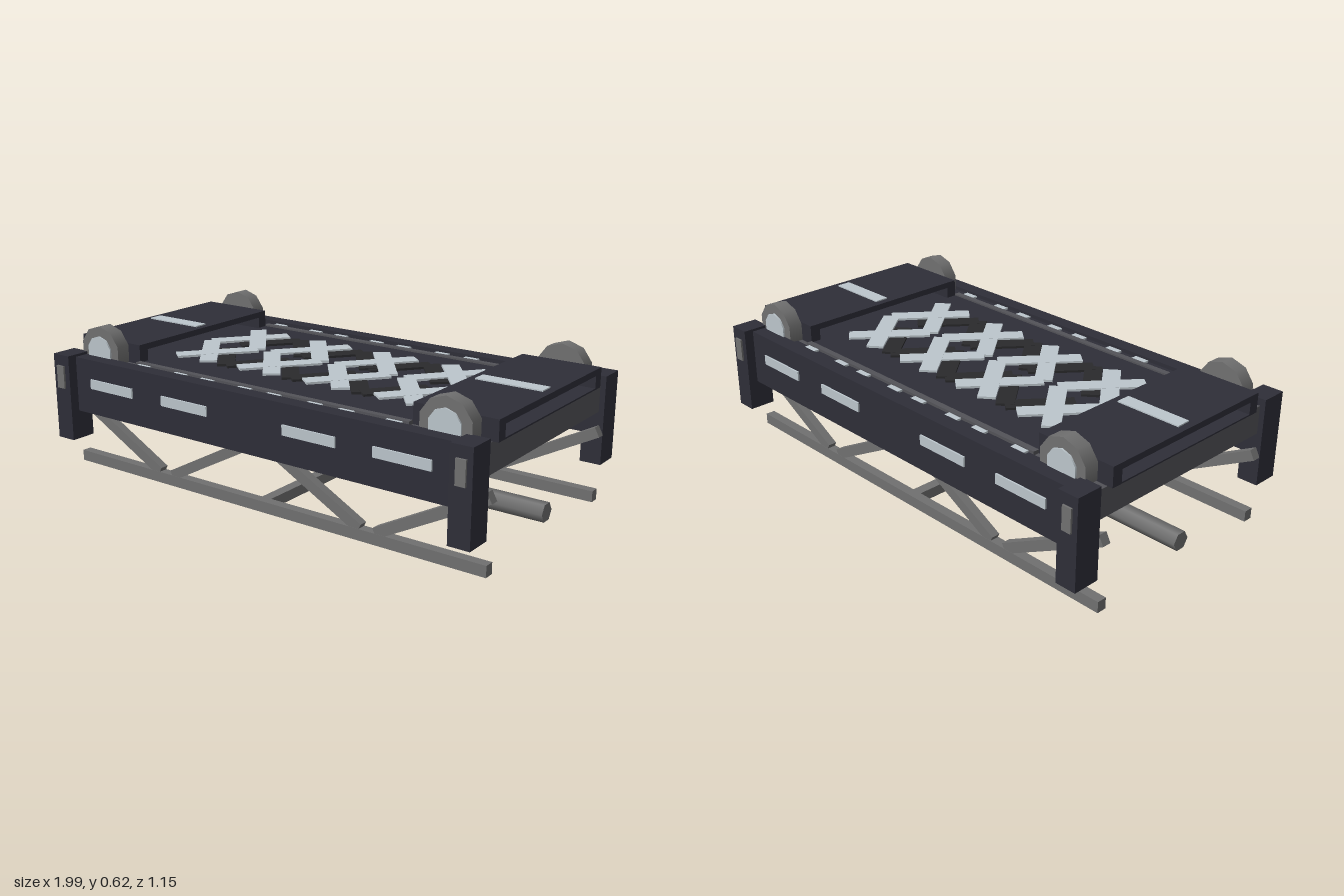
import * as THREE from 'three';

export function createModel() {
  const root = new THREE.Group();
  const mat = (name, color) => {
    const m = new THREE.MeshStandardMaterial({ color });
    m.name = name;
    return m;
  };
  const hull = mat('dark hull', 0x2e2e38);
  const lattice = mat('dark lattice', 0x2a2a2c);
  const deckGrey = mat('deck grey', 0x535358);
  const steel = mat('steel grey', 0x707070);
  const light = mat('pale light', 0xbcc6cc);

  const add = (name, geo, material, x = 0, y = 0, z = 0) => {
    const m = new THREE.Mesh(geo, material);
    m.name = name;
    m.position.set(x, y, z);
    root.add(m);
    return m;
  };
  // box given by its min and max on each axis
  const box = (name, material, [x0, x1], [y0, y1], [z0, z1]) =>
    add(name, new THREE.BoxGeometry(x1 - x0, y1 - y0, z1 - z0), material,
      (x0 + x1) / 2, (y0 + y1) / 2, (z0 + z1) / 2);
  const side = (s, a, b) => (s > 0 ? [a, b] : [-b, -a]);
  // bar in the XY plane between two points
  const truss = (x0, y0, x1, y1, z) => {
    const len = Math.hypot(x1 - x0, y1 - y0);
    add('trussDiagonal', new THREE.BoxGeometry(len, 0.042, 0.036), steel,
      (x0 + x1) / 2, (y0 + y1) / 2, z).rotation.z = Math.atan2(y1 - y0, x1 - x0);
  };
  // flat bar on the deck between two points
  const deckBar = (name, material, x0, z0, x1, z1, y) => {
    const len = Math.hypot(x1 - x0, z1 - z0);
    add(name, new THREE.BoxGeometry(len, 0.009, 0.07), material,
      (x0 + x1) / 2, y, (z0 + z1) / 2).rotation.y = -Math.atan2(z1 - z0, x1 - x0);
  };

  // deck slab and its sunken centre panel
  box('deckSlab', deckGrey, [-0.965, 0.965], [0.355, 0.47], [-0.462, 0.462]);
  box('centrePanel', hull, [-0.655, 0.655], [0.47, 0.478], [-0.4, 0.4]);

  // lattice: pale crosses in four columns, dark chevrons between them
  for (const s of [1, -1]) {
    for (const cx of [-0.495, -0.165, 0.165, 0.495])
      for (const d of [1, -1])
        deckBar('paleCross', light, cx + d * 0.125, 0, cx - d * 0.085, s * 0.262, 0.4925 + d * 0.0003);
    for (const bx of [-0.33, 0, 0.33])
      for (const d of [1, -1])
        deckBar('darkChevron', lattice, bx, s * 0.245, bx + d * 0.165, s * 0.04, 0.486 + d * 0.0003);
  }

  // raised, hollow end caps with a stripe
  for (const s of [1, -1]) {
    const xr = side(s, 0.655, 0.987);
    box('endCapTop', hull, xr, [0.525, 0.55], [-0.4, 0.4]);
    for (const t of [1, -1]) box('endCapWall', hull, xr, [0.47, 0.525], side(t, 0.355, 0.4));
    box('endCapFloor', hull, xr, [0.47, 0.476], [-0.355, 0.355]);
    box('endStripe', light, side(s, 0.685, 0.957), [0.55, 0.555], [-0.03, 0.03]);
  }

  for (const t of [1, -1]) {
    // side panels with outer lamps
    box('sidePanel', hull, [-0.9, 0.9], [0.26, 0.49], side(t, 0.462, 0.525));
    for (const x of [-0.695, -0.3, 0.3, 0.695])
      box('panelLamp', light, [x - 0.118, x + 0.118], [0.37, 0.41], side(t, 0.525, 0.532));

    // deck edge channel with small lamps
    box('edgeRail', deckGrey, [-0.655, 0.655], [0.47, 0.485], side(t, 0.4, 0.425));
    box('edgeChannel', hull, [-0.9, 0.9], [0.47, 0.474], side(t, 0.425, 0.462));
    for (const x of [0.07, 0.26, 0.4, 0.6])
      for (const s of [1, -1])
        box('edgeLamp', light, side(s, x - 0.032, x + 0.032), [0.474, 0.482], side(t, 0.427, 0.457));

    for (const s of [1, -1]) {
      // corner posts with plates
      box('cornerPost', hull, side(s, 0.9, 0.987), [0.14, 0.5], side(t, 0.455, 0.565));
      box('postPlate', steel, side(s, 0.925, 0.965), [0.36, 0.455], side(t, 0.565, 0.573));

      // corner wheels with pale hubs
      const wheel = add('cornerWheel', new THREE.CylinderGeometry(0.107, 0.107, 0.06, 10),
        steel, s * 0.82, 0.51, t * 0.431);
      wheel.rotation.x = Math.PI / 2;
      wheel.material = steel;
      const hub = add('wheelHub', new THREE.CylinderGeometry(0.066, 0.066, 0.008, 10),
        light, s * 0.82, 0.51, t * 0.464);
      hub.rotation.x = Math.PI / 2;

      // truss diagonals
      truss(s * 0.46, 0.045, s * 0.005, 0.287, t * 0.424);
      truss(s * 0.53, 0.045, s * 0.985, 0.287, t * 0.424);
    }
    box('bottomRail', steel, [-0.985, 0.985], [0, 0.045], side(t, 0.403, 0.443));
  }

  // cross members at mid length
  box('upperCrossBeam', hull, [-0.018, 0.018], [0.225, 0.32], [-0.43, 0.43]);
  box('lowerCrossBar', steel, [-0.022, 0.022], [0.001, 0.044], [-0.41, 0.41]);

  // central hexagonal pipe
  const pipe = add('centrePipe', new THREE.CylinderGeometry(0.039, 0.039, 1.97, 6), steel, 0, 0.091, 0);
  pipe.rotation.z = Math.PI / 2;

  return root;
}
